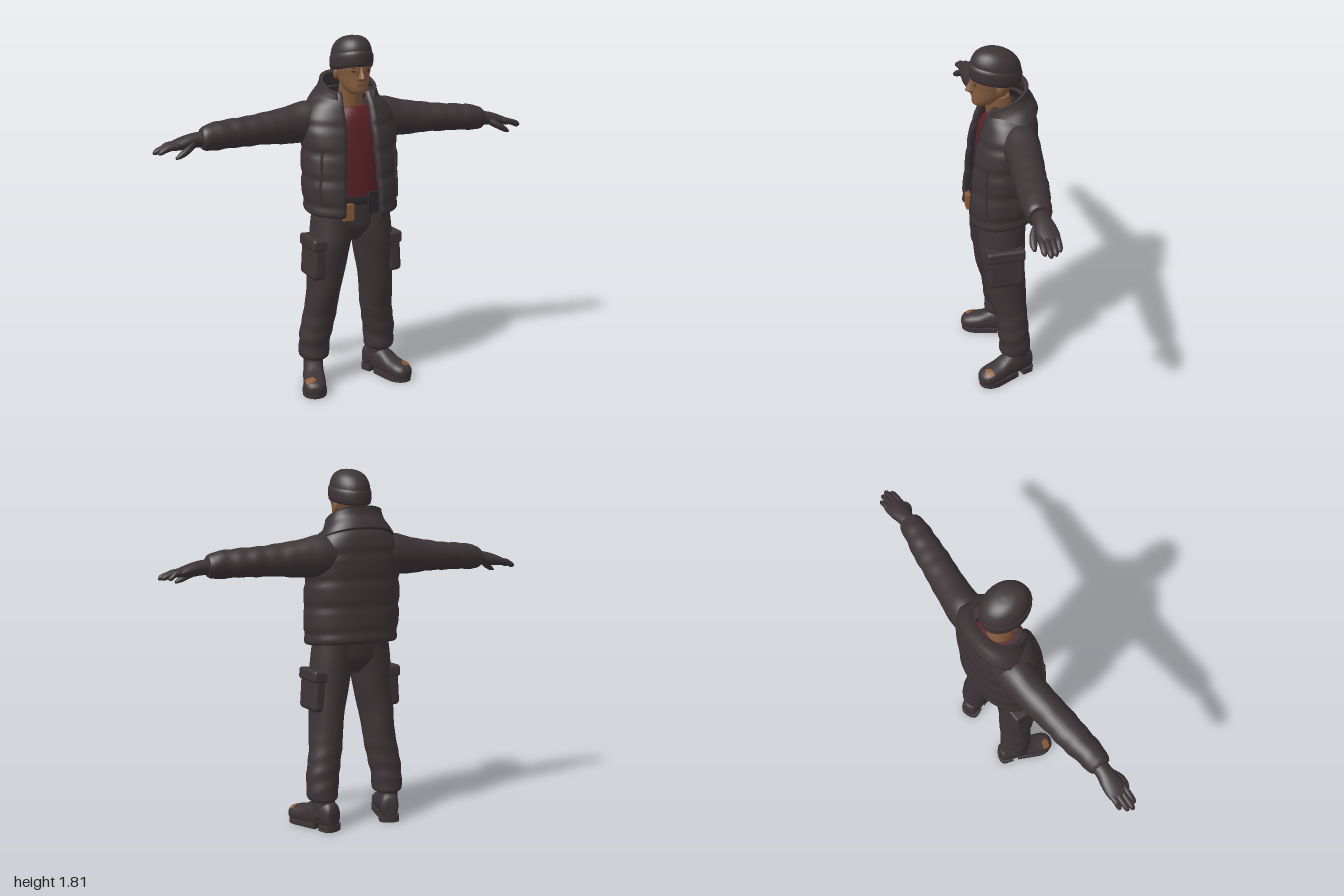
import * as THREE from 'three';
import { RoundedBoxGeometry } from 'three/addons/geometries/RoundedBoxGeometry.js';

const mat = (name, color) => Object.assign(new THREE.MeshStandardMaterial({ color }), { name });
const { sin, cos, abs, sign, PI, asin, pow, floor, min, max } = Math;

// Interpolates rows of numbers smoothly, u from 0 to 1
function sample(rows, u) {
  const f = u * (rows.length - 1), i = min(floor(f), rows.length - 2), t = f - i;
  const row = (n) => rows[max(0, min(rows.length - 1, n))];
  return rows[i].map((b, k) => {
    const a = row(i - 1)[k], c = row(i + 1)[k], d = row(i + 2)[k];
    return b + 0.5 * t * (c - a + t * (2 * a - 5 * b + 4 * c - d + t * (3 * (b - c) + d - a)));
  });
}

// Grid of points (rings of equal length) to smooth geometry
function skin(rings, wrap = true) {
  const n = rings[0].length, index = [], flat = rings.flat();
  for (let j = 0; j < rings.length - 1; j++)
    for (let i = 0; i < (wrap ? n : n - 1); i++) {
      const k = (i + 1) % n, a = j * n + i, b = j * n + k, c = b + n, d = a + n;
      index.push(a, b, c, a, c, d);
    }
  const g = new THREE.BufferGeometry().setFromPoints(flat);
  g.setIndex(index);
  g.computeVertexNormals();
  return g;
}

// Point on a lofted limb along axis k; station = [along, centre k+1, centre k+2, radius k+1, radius k+2]
function loftPoint(k, s, a, { square = 1, puff, warp } = {}, grow = 0) {
  const m = puff ? puff(s[0], a) : 1, q = (v) => sign(v) * pow(abs(v), square);
  const p = new THREE.Vector3();
  p.setComponent(k, s[0]);
  p.setComponent((k + 1) % 3, s[1] + (s[3] * m + grow) * q(cos(a)));
  p.setComponent((k + 2) % 3, s[2] + (s[4] * m + grow) * q(sin(a)));
  if (warp) warp(p);
  return p;
}

// Closed limb through the stations
function loft(k, rows, opts = {}) {
  const { seg = 28, steps = 5 } = opts, n = (rows.length - 1) * steps, rings = [];
  for (let j = -1; j <= n + 1; j++) {
    const s = sample(rows, max(0, min(n, j)) / n);
    if (j < 0 || j > n) s[3] = s[4] = 0;
    rings.push(Array.from({ length: seg }, (_, i) => loftPoint(k, s, (i / seg) * 2 * PI, opts)));
  }
  return skin(rings);
}

// Thick garment shell open at the front; row = [y, centre z, radius z, radius x, half opening]
function shellPoint(rows, u, f, inset, { puff, warp }) {
  const [y, cz, rz, rx, gap] = sample(rows, u), e = 0.85;
  const start = asin(pow(gap / rx, 1 / e)), a = start + f * (2 * PI - 2 * start);
  const m = puff ? puff(y, a) : 1, q = (v) => sign(v) * pow(abs(v), e);
  const p = new THREE.Vector3((rx * m - inset) * q(sin(a)), y, cz + (rz * m - inset) * q(cos(a)));
  if (warp) warp(p);
  return p;
}
function shell(rows, n, thick, opts) {
  const m = 56, rings = [];
  for (let j = -1; j <= n + 1; j++) {
    const u = max(0, min(n, j)) / n, end = j < 0 || j > n, ring = [];
    for (let i = 0; i <= m; i++) ring.push(shellPoint(rows, u, i / m, end ? thick / 2 : 0, opts));
    for (let i = m; i >= 0; i--) ring.push(shellPoint(rows, u, i / m, end ? thick / 2 : thick, opts));
    rings.push(ring);
  }
  return skin(rings);
}

function mirrored(geo) {
  const g = geo.clone().scale(-1, 1, 1);
  const ix = g.index ? [...g.index.array] : [...Array(g.attributes.position.count).keys()];
  for (let i = 0; i < ix.length; i += 3) [ix[i], ix[i + 1]] = [ix[i + 1], ix[i]];
  return g.setIndex(ix);
}

const box = (w, h, d, x, y, z, r = 0.004) => new RoundedBoxGeometry(w, h, d, 2, r).translate(x, y, z);

export function createModel() {
  const model = new THREE.Group();
  model.name = 'manInWinterJacket';
  const cloth = mat('charcoalCloth', 0x3d3436), shirtRed = mat('darkRedShirt', 0x5a2226);
  const skinTone = mat('skin', 0x855c3e), lipTone = mat('lips', 0x6b4632);
  const leather = mat('brownLeather', 0x8a5a38), dark = mat('darkTrim', 0x2c282c);
  const add = (name, geo, m) => {
    const mesh = new THREE.Mesh(geo, m);
    mesh.name = name;
    model.add(mesh);
  };
  const pair = (name, geo, m) => {
    add('left' + name, geo, m);
    add('right' + name, mirrored(geo), m);
  };

  // Head and neck
  add('neck', loft(1, [[1.4, -0.02, 0, 0.075, 0.08], [1.46, -0.01, 0, 0.066, 0.062], [1.58, 0.015, 0, 0.065, 0.058]]), skinTone);
  add('head', loft(1, [[1.532, 0.085, 0, 0.035, 0.03], [1.545, 0.07, 0, 0.06, 0.047], [1.575, 0.05, 0, 0.081, 0.064],
    [1.62, 0.03, 0, 0.1, 0.076], [1.66, 0.02, 0, 0.115, 0.085], [1.74, 0.015, 0, 0.11, 0.085]], { square: 0.92 }), skinTone);
  add('nose', loft(1, [[1.597, 0.13, 0, 0.012, 0.012], [1.607, 0.134, 0, 0.027, 0.018], [1.618, 0.132, 0, 0.028, 0.015],
    [1.64, 0.128, 0, 0.019, 0.01], [1.665, 0.122, 0, 0.014, 0.009]], { seg: 14 }), skinTone);
  add('mouth', box(0.042, 0.008, 0.012, 0, 1.575, 0.126), lipTone);
  pair('Eye', new THREE.SphereGeometry(1, 12, 8).scale(0.014, 0.006, 0.006).translate(0.034, 1.645, 0.121), dark);
  pair('Brow', box(0.036, 0.009, 0.014, 0.034, 1.66, 0.122), lipTone);
  pair('Ear', new THREE.SphereGeometry(1, 12, 8).scale(0.012, 0.03, 0.02).translate(0.082, 1.63, 0.01), skinTone);

  // Knitted cap, lower at the back
  const tilt = { warp: (p) => { p.y += 0.15 * p.z; } };
  add('capBand', loft(1, [[1.642, 0.015, 0, 0.11, 0.085], [1.648, 0.015, 0, 0.122, 0.097], [1.67, 0.015, 0, 0.127, 0.103],
    [1.705, 0.015, 0, 0.127, 0.103], [1.722, 0.015, 0, 0.118, 0.094]], tilt), cloth);
  add('capCrown', loft(1, [[1.7, 0.013, 0, 0.121, 0.098], [1.74, 0.013, 0, 0.117, 0.094], [1.777, 0.013, 0, 0.093, 0.077],
    [1.8, 0.013, 0, 0.053, 0.046], [1.807, 0.013, 0, 0.005, 0.005]], tilt), cloth);

  // Shirt and belt
  add('shirt', loft(1, [[1.0, 0, 0, 0.122, 0.17], [1.2, -0.01, 0, 0.13, 0.19], [1.38, -0.02, 0, 0.12, 0.18], [1.44, -0.02, 0, 0.1, 0.12],
    [1.465, -0.015, 0, 0.078, 0.078]]), shirtRed);
  add('belt', loft(1, [[0.985, 0, 0, 0.133, 0.18], [1.025, 0, 0, 0.133, 0.18]]), dark);
  add('beltTag', box(0.056, 0.085, 0.025, -0.076, 0.955, 0.145), leather);
  add('beltPouch', box(0.062, 0.11, 0.022, 0.062, 0.995, 0.14), dark);

  // Quilted jacket
  const jacketRows = [[0.94, 0, 0.165, 0.23, 0.1], [0.965, 0.001, 0.179, 0.243, 0.098], [1.1, -0.004, 0.174, 0.25, 0.092],
    [1.25, -0.014, 0.167, 0.25, 0.082], [1.38, -0.027, 0.155, 0.245, 0.075], [1.46, -0.035, 0.138, 0.21, 0.075],
    [1.51, -0.035, 0.12, 0.165, 0.075], [1.54, -0.035, 0.1, 0.13, 0.075]];
  const jacketOpts = {
    puff: (y, a) => 1 - 0.03 * pow(abs(cos((PI * (y - 0.995)) / 0.13)), 8) + 0.008 * sin(3 * a + 24 * y) * sin(2 * a),
    warp: (p) => { p.y -= 0.08 * p.z; },
  };
  add('jacketBody', shell(jacketRows, 70, 0.025, jacketOpts), cloth);
  add('jacketCollar', shell([[1.45, -0.035, 0.145, 0.205, 0.08], [1.49, -0.032, 0.132, 0.183, 0.085], [1.53, -0.028, 0.116, 0.158, 0.09],
    [1.565, -0.025, 0.112, 0.145, 0.1], [1.578, -0.025, 0.112, 0.143, 0.104]], 20, 0.018,
  { warp: (p) => { p.y -= 0.5 * (p.z + 0.03); } }), cloth);
  const slit = [0.2, 0.27, 0.34, 0.41, 0.46].map((u, i) => shellPoint(jacketRows, u, 0.115 - 0.004 * i, -0.001, jacketOpts));
  pair('JacketPocketWelt', new THREE.TubeGeometry(new THREE.CatmullRomCurve3(slit), 20, 0.007, 6), cloth);
  add('zipPull', box(0.014, 0.035, 0.012, 0.112, 0.925, 0.15), dark);

  // Sleeves with gathered folds
  pair('Sleeve', loft(0, [[0.1, 1.385, -0.06, 0.105, 0.09], [0.21, 1.387, -0.063, 0.104, 0.09], [0.3, 1.378, -0.058, 0.094, 0.083],
    [0.45, 1.37, -0.04, 0.077, 0.078], [0.6, 1.363, -0.024, 0.07, 0.073], [0.7, 1.357, -0.012, 0.067, 0.064],
    [0.745, 1.352, -0.01, 0.06, 0.058], [0.765, 1.35, -0.01, 0.048, 0.05]], {
    steps: 10,
    puff: (x, a) => 1 + 0.022 * sin(75 * x + 2 * sin(a)) * min(1, max(0, (x - 0.25) * 4)) + 0.012 * sin(33 * x + 3 * a),
  }), cloth);

  // Gloved hands
  pair('Glove', loft(0, [[0.74, 1.347, -0.01, 0.036, 0.04], [0.79, 1.346, -0.011, 0.036, 0.04], [0.84, 1.338, -0.013, 0.033, 0.048],
    [0.89, 1.328, -0.014, 0.025, 0.05], [0.925, 1.32, -0.012, 0.016, 0.044]]), cloth);
  [[-0.046, 0.965], [-0.022, 0.99], [0.002, 1.0], [0.024, 0.98]].forEach(([z, tip], i) =>
    pair('Finger' + (i + 1), loft(0, [[0.88, 1.33, z, 0.015, 0.015], [0.93, 1.322, z, 0.016, 0.014],
      [tip - 0.015, 1.307, z, 0.014, 0.013], [tip, 1.3, z, 0.006, 0.006]], { seg: 12 }), cloth));
  pair('Thumb', loft(0, [[0.795, 1.338, 0.005, 0.02, 0.022], [0.84, 1.312, 0.036, 0.02, 0.02], [0.88, 1.29, 0.047, 0.016, 0.016],
    [0.905, 1.277, 0.048, 0.006, 0.007]], { seg: 14 }), cloth);

  // Trousers
  add('trouserSeat', loft(1, [[0.79, 0.005, 0, 0.06, 0.04], [0.85, 0.005, 0, 0.112, 0.13], [0.91, 0.003, 0, 0.124, 0.19],
    [1.0, 0, 0, 0.13, 0.195]]), cloth);
  pair('TrouserLeg', loft(1, [[0.148, -0.045, 0.187, 0.07, 0.062], [0.165, -0.045, 0.187, 0.084, 0.077], [0.22, -0.043, 0.187, 0.082, 0.08],
    [0.3, -0.035, 0.178, 0.082, 0.086], [0.4, -0.025, 0.16, 0.088, 0.084], [0.5, -0.01, 0.15, 0.099, 0.085],
    [0.6, 0, 0.14, 0.105, 0.091], [0.75, 0.01, 0.122, 0.115, 0.104], [0.85, 0.01, 0.107, 0.12, 0.108],
    [0.97, 0.002, 0.097, 0.124, 0.1]], {
    steps: 9,
    puff: (y, a) => 1 + 0.026 * sin(70 * y + 2 * sin(a + 1)) * max(0, 1 - abs(y - 0.27) * 4) + 0.014 * sin(26 * y + 2 * a),
  }), cloth);
  const onLeg = (g) => g.rotateZ(0.06).translate(0.208, 0.705, 0.012);
  pair('CargoPocket', onLeg(box(0.07, 0.2, 0.185, 0, 0, 0, 0.022)), cloth);
  pair('CargoPocketFlap', onLeg(box(0.086, 0.06, 0.195, 0, 0.08, 0, 0.014)), cloth);

  // Boots, toes turned out
  const place = (g) => g.rotateY(0.35).translate(0.19, 0, -0.048);
  const bootRows = [[-0.092, 0, 0.065, 0.025, 0.035], [-0.078, 0, 0.078, 0.045, 0.062], [-0.02, 0, 0.085, 0.052, 0.075],
    [0.05, 0, 0.075, 0.051, 0.066], [0.11, 0, 0.058, 0.057, 0.05], [0.17, 0, 0.05, 0.057, 0.043],
    [0.205, 0, 0.045, 0.043, 0.034], [0.22, 0, 0.042, 0.02, 0.018]];
  const bootOpts = { square: 0.85, warp: (p) => { p.y = max(p.y, 0.018); } };
  pair('BootUpper', place(loft(2, bootRows, bootOpts)), cloth);
  pair('BootShaft', place(loft(1, [[0.06, -0.012, 0, 0.068, 0.052], [0.13, -0.008, 0, 0.064, 0.052], [0.19, -0.005, 0, 0.062, 0.052]])), cloth);
  [0.06, 0.085, 0.11].forEach((z, i) =>
    pair('BootLace' + (i + 1), place(box(0.05, 0.007, 0.008, 0, 0.14 - 0.011 * i - 12 * (z - 0.06) ** 2, z - 0.01, 0.003)), dark));
  // Scuffed toe patch following the boot surface
  const patch = [];
  for (let j = 0; j <= 6; j++)
    patch.push(Array.from({ length: 7 }, (_, i) =>
      loftPoint(2, sample(bootRows, 0.69 + 0.022 * j), 0.6 + i * (0.18 - 0.012 * abs(j - 3)), bootOpts, 0.002)));
  pair('BootToePatch', place(skin(patch, false)), leather);
  // Soles: separate forefoot and heel
  const slab = (z0, z1, w0, w1, h) => {
    const r = (z1 - z0) * 0.45, s = new THREE.Shape();
    s.moveTo(-w0, -z0);
    s.lineTo(w0, -z0);
    s.lineTo(w1, -z1 + r);
    s.bezierCurveTo(w1, -z1, -w1, -z1, -w1, -z1 + r);
    s.closePath();
    return new THREE.ExtrudeGeometry(s, { depth: h, bevelEnabled: false, curveSegments: 14 }).rotateX(-PI / 2);
  };
  pair('BootForefootSole', place(slab(0.01, 0.245, 0.048, 0.062, 0.03)), cloth);
  pair('BootHeel', place(slab(0.02, 0.108, 0.05, 0.052, 0.032).rotateY(PI)), cloth);
  return model;
}
